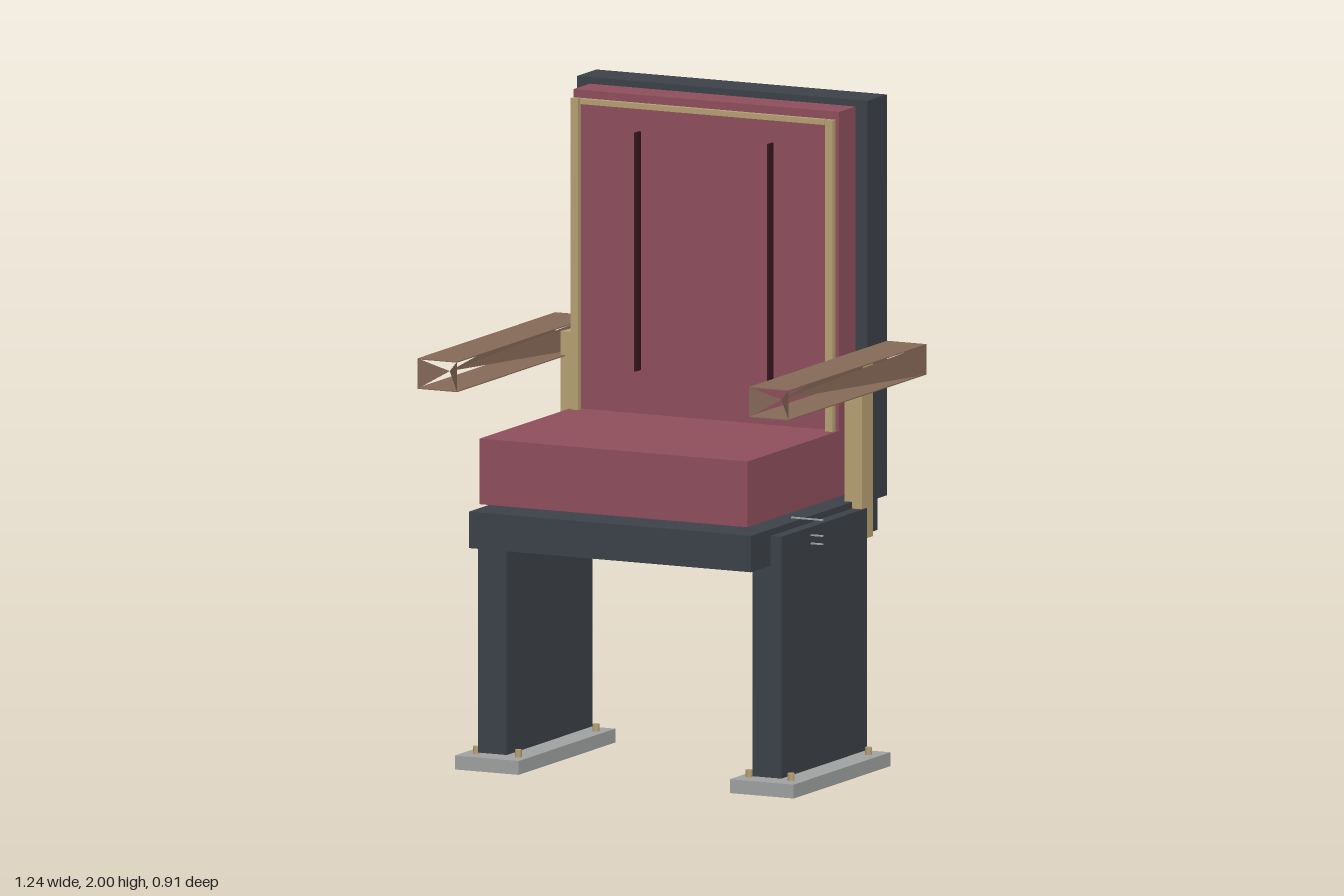
import * as THREE from 'three';

const mat = (name, color, side = THREE.FrontSide) => {
  const m = new THREE.MeshStandardMaterial({ color, side });
  m.name = name;
  return m;
};

export function createModel() {
  const frame = mat('charcoal frame', 0x3c4249);
  const fabric = mat('wine fabric', 0x904f5d);
  const brass = mat('brass', 0xb8a274);
  const wood = mat('brown wood', 0x866a58, THREE.DoubleSide);
  const steel = mat('grey steel', 0xa0a3a2);
  const seamDark = mat('dark seam', 0x35161e);

  const chair = new THREE.Group();
  chair.name = 'chair';

  // Box given by its min and max along each axis
  const box = (name, material, [x0, x1], [y0, y1], [z0, z1]) => {
    const mesh = new THREE.Mesh(new THREE.BoxGeometry(x1 - x0, y1 - y0, z1 - z0), material);
    mesh.position.set((x0 + x1) / 2, (y0 + y1) / 2, (z0 + z1) / 2);
    mesh.name = name;
    chair.add(mesh);
    return mesh;
  };
  // Box mirrored on both sides of the chair
  const pair = (name, material, [x0, x1], y, z) => {
    box(name + 'Left', material, [x0, x1], y, z);
    box(name + 'Right', material, [-x1, -x0], y, z);
  };

  // Seat and back
  box('seatBase', frame, [-0.47, 0.47], [0.69, 0.8], [-0.42, 0.412]);
  box('seatCushion', fabric, [-0.448, 0.445], [0.82, 1.018], [-0.25, 0.385]);
  box('backCushion', fabric, [-0.443, 0.443], [0.82, 1.98], [-0.33, -0.222]);
  box('backPanel', frame, [-0.486, 0.483], [0.79, 2], [-0.457, -0.33]);

  // Trim and seams on the back cushion
  pair('sidePiping', brass, [0.412, 0.437], [1.018, 1.958], [-0.211, -0.192]);
  box('topPiping', brass, [-0.408, 0.408], [1.942, 1.958], [-0.211, -0.195]);
  pair('backSeam', seamDark, [0.217, 0.225], [1.15, 1.87], [-0.222, -0.192]);

  // Legs, feet and arm posts
  pair('leg', frame, [0.41, 0.506], [0.05, 0.78], [-0.282, 0.282]);
  pair('foot', steel, [0.352, 0.565], [0, 0.042], [-0.318, 0.318]);
  pair('armPost', brass, [0.445, 0.502], [0.688, 1.24], [-0.33, -0.255]);

  // Foot bolts
  const boltShape = new THREE.CylinderGeometry(0.011, 0.011, 0.024, 8);
  for (const x of [-0.525, -0.385, 0.385, 0.525]) {
    for (const z of [-0.255, 0.255]) {
      const bolt = new THREE.Mesh(boltShape, brass);
      bolt.position.set(x, 0.052, z);
      bolt.name = 'footBolt';
      chair.add(bolt);
    }
  }

  // Thin pivot pins through the seat sides
  for (const y of [0.803, 0.755, 0.73]) {
    pair('pivotPin', steel, [0.44, 0.545], [y - 0.002, y + 0.002], [0.081, 0.089]);
  }

  // Armrests: thin top and bottom plates, upright edges folded in to one pinch point
  const [x0, x1, y0, y1, z0, z1] = [0.487, 0.619, 1.166, 1.258, -0.45, 0.457];
  const pinch = [(x0 + x1) / 2, (y0 + y1) / 2, 0.375];
  for (const [s, side] of [[1, 'Left'], [-1, 'Right']]) {
    const xs = s > 0 ? [x0, x1] : [-x1, -x0];
    box('armTop' + side, wood, xs, [y1 - 0.003, y1], [z0, z1]);
    box('armBottom' + side, wood, xs, [y0, y0 + 0.003], [z0, z1]);
    const points = [];
    for (const x of [x0, x1]) {
      for (const z of [z0, z1]) {
        points.push(s * x, y0, z, s * x, y1, z, s * pinch[0], pinch[1], pinch[2]);
      }
    }
    const geometry = new THREE.BufferGeometry();
    geometry.setAttribute('position', new THREE.Float32BufferAttribute(points, 3));
    geometry.computeVertexNormals();
    const folds = new THREE.Mesh(geometry, wood);
    folds.name = 'armFolds' + side;
    chair.add(folds);
  }

  return chair;
}
